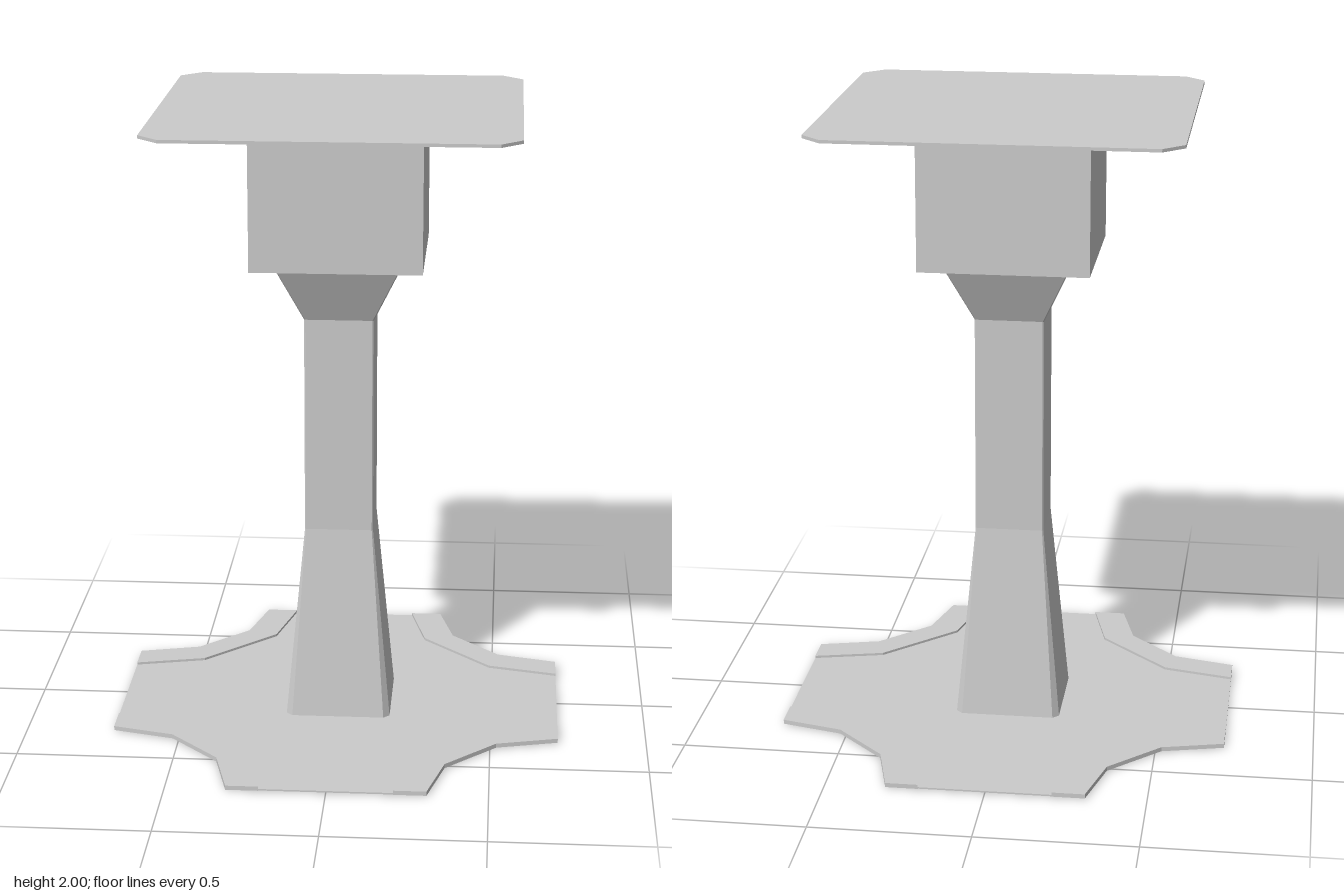
import * as THREE from 'three';

const material = new THREE.MeshStandardMaterial({ color: 0xcccccc, flatShading: true });

function addMesh(parent, name, geometry) {
  const mesh = new THREE.Mesh(geometry, material);
  mesh.name = name;
  parent.add(mesh);
  return mesh;
}

// Flat slab with the given x/z outline, between two heights
function slab(points, bottom, top) {
  const shape = new THREE.Shape(points.map(([x, z]) => new THREE.Vector2(x, -z)));
  const geometry = new THREE.ExtrudeGeometry(shape, { depth: top - bottom, bevelEnabled: false });
  return geometry.rotateX(-Math.PI / 2).translate(0, bottom, 0);
}

// Repeats the points of one corner around all four corners
function fourCorners(points) {
  const outline = [];
  for (let k = 0; k < 4; k++) {
    for (const [px, pz] of points) {
      let x = px, z = pz;
      for (let i = 0; i < k; i++) [x, z] = [z, -x];
      outline.push([x, z]);
    }
  }
  return outline;
}

// Square with cut corners, seen from above
const cutSquare = (half, flat) => fourCorners([[flat, half], [half, flat]]);

// Closed solid through cut-square sections [height, half width, flat half width]
function loft(sections) {
  const positions = [], index = [], n = 8;
  for (const [y, half, flat] of sections) {
    for (const [x, z] of cutSquare(half, flat)) positions.push(x, y, z);
  }
  for (let s = 0; s < sections.length - 1; s++) {
    for (let i = 0; i < n; i++) {
      const a = s * n + i, b = s * n + (i + 1) % n;
      index.push(a, b, b + n, a, b + n, a + n);
    }
  }
  const last = (sections.length - 1) * n;
  for (let i = 1; i < n - 1; i++) {
    index.push(0, i + 1, i, last, last + i, last + i + 1);
  }
  const geometry = new THREE.BufferGeometry();
  geometry.setAttribute('position', new THREE.Float32BufferAttribute(positions, 3));
  geometry.setIndex(index);
  const flatGeometry = geometry.toNonIndexed();
  flatGeometry.computeVertexNormals();
  return flatGeometry;
}

export function createModel() {
  const group = new THREE.Group();
  group.name = 'pedestalTable';

  // Cross-shaped foot plate with a notch at each corner
  const notch = [[0.31, 0.717], [0.36, 0.52], [0.52, 0.36], [0.717, 0.31]];
  addMesh(group, 'footPlate', slab(fourCorners(notch), 0.004, 0.009));

  // Raised rim around each notch
  const inner = [[0.717, 0.208], [0.49, 0.262], [0.262, 0.49], [0.208, 0.717]];
  const rimGeometry = slab([...notch, ...inner], 0.003, 0.017);
  for (let k = 0; k < 4; k++) {
    addMesh(group, 'footRim' + (k + 1), rimGeometry).rotation.y = k * Math.PI / 2;
  }

  // Flared base, straight shaft and widening neck
  addMesh(group, 'pillar', loft([
    [0, 0.17, 0.15],
    [0.64, 0.11, 0.106],
    [1.34, 0.11, 0.106],
    [1.535, 0.2, 0.197],
  ]));

  // Block under the top
  const block = new THREE.BoxGeometry(0.535, 0.465, 0.535).translate(0, 1.7625, 0);
  addMesh(group, 'supportBlock', block);

  // Thin top with cut corners
  addMesh(group, 'tableTop', slab(cutSquare(0.565, 0.5), 1.99, 2));

  return group;
}
